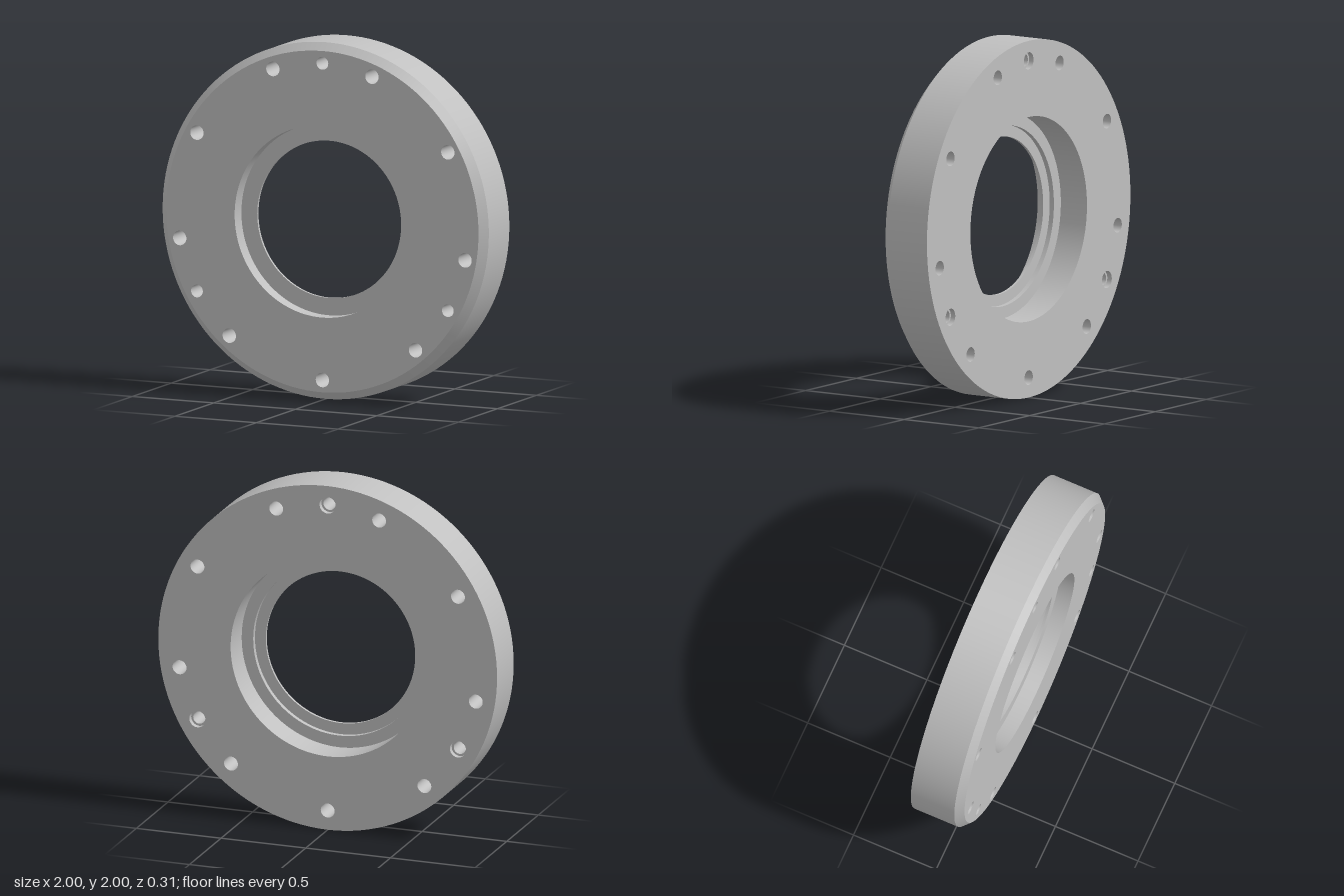
import * as THREE from 'three';

export function createModel() {
  const group = new THREE.Group();
  group.name = 'flange';
  const steel = new THREE.MeshStandardMaterial({ color: 0xc0c0c0 });
  steel.name = 'steel grey';

  const SEG = 128, HOLE_SEG = 32;
  const BACK = -0.153, FRONT = 0.153;
  const CHAMFER = 0.043;
  const FRONT_RECESS = 0.538, BACK_RECESS = 0.573, BORE = 0.441;
  const BOLT_CIRCLE = 0.888;

  const add = (name, geometry, parent = group) => {
    const mesh = new THREE.Mesh(geometry, steel);
    mesh.name = name;
    parent.add(mesh);
    return mesh;
  };

  // One surface of revolution around z, from [radius, z] to [radius, z]
  const ring = (name, from, to, seg = SEG, parent = group) => {
    const geometry = new THREE.LatheGeometry(
      [new THREE.Vector2(...from), new THREE.Vector2(...to)], seg);
    geometry.rotateX(Math.PI / 2);
    return add(name, geometry, parent);
  };

  const circle = (r, seg, cx = 0, cy = 0) =>
    Array.from({ length: seg }, (_, i) => {
      const a = (i / seg) * Math.PI * 2;
      return new THREE.Vector2(cx + r * Math.cos(a), cy + r * Math.sin(a));
    });

  // Nine plain bolt holes, and three narrower ones counterbored at the back
  const holes = [];
  for (let i = 0; i < 9; i++) holes.push({ angle: -90 + i * 40, r: 0.041, backR: 0.041 });
  for (let i = 0; i < 3; i++) holes.push({ angle: 90 + i * 120, r: 0.036, backR: 0.048 });
  for (const h of holes) {
    const a = THREE.MathUtils.degToRad(h.angle);
    h.x = BOLT_CIRCLE * Math.cos(a);
    h.y = BOLT_CIRCLE * Math.sin(a);
  }

  // Flat annular face pierced by the bolt holes
  const face = (name, outer, inner, z, key, isBack) => {
    const shape = new THREE.Shape(circle(outer, SEG));
    shape.holes.push(new THREE.Path(circle(inner, SEG)));
    for (const h of holes) shape.holes.push(new THREE.Path(circle(h[key], HOLE_SEG, h.x, h.y)));
    const geometry = new THREE.ShapeGeometry(shape);
    if (isBack) geometry.rotateY(Math.PI); // hole pattern is mirror symmetric in x
    geometry.translate(0, 0, z);
    add(name, geometry);
  };
  face('frontFace', 1 - CHAMFER, FRONT_RECESS, FRONT, 'r', false);
  face('backFace', 1, BACK_RECESS, BACK, 'backR', true);

  // Rim
  ring('outerRim', [1, BACK], [1, FRONT - CHAMFER]);
  ring('frontChamfer', [1, FRONT - CHAMFER], [1 - CHAMFER, FRONT]);

  // Stepped centre opening, front to back
  const steps = [
    ['frontRecessWall', FRONT_RECESS, FRONT],
    ['frontRecessFloor', FRONT_RECESS, 0.066],
    ['boreWall', BORE, 0.066],
    ['innerStepFloor', BORE, 0.05],
    ['innerStepWall', 0.505, 0.05],
    ['backRecessFloor', 0.505, 0.022],
    ['backRecessWall', BACK_RECESS, 0.022],
    ['end', BACK_RECESS, BACK],
  ];
  for (let i = 0; i < steps.length - 1; i++) {
    ring(steps[i][0], steps[i].slice(1), steps[i + 1].slice(1));
  }

  // Bolt hole walls
  for (const h of holes) {
    const hole = new THREE.Group();
    hole.name = 'boltHole';
    hole.position.set(h.x, h.y, 0);
    group.add(hole);
    if (h.backR > h.r) {
      const z = BACK + 0.03;
      ring('holeWall', [h.r, FRONT], [h.r, z], HOLE_SEG, hole);
      ring('counterboreFloor', [h.r, z], [h.backR, z], HOLE_SEG, hole);
      ring('counterboreWall', [h.backR, z], [h.backR, BACK], HOLE_SEG, hole);
    } else {
      ring('holeWall', [h.r, FRONT], [h.r, BACK], HOLE_SEG, hole);
    }
  }

  group.position.y = 1; // stand on the ground
  return group;
}
